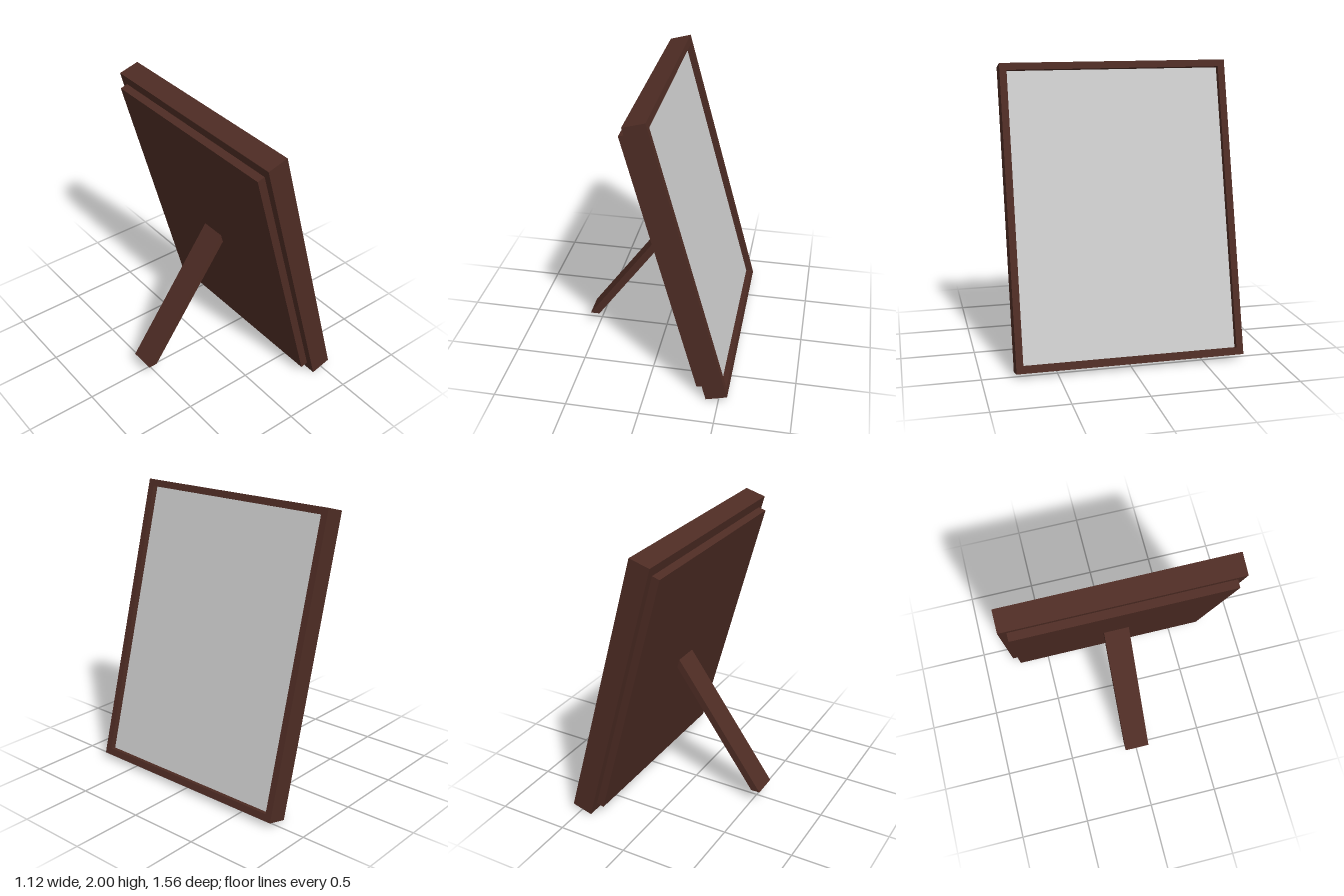
import * as THREE from 'three';

const wood = new THREE.MeshStandardMaterial({ color: 0x4e2c24, flatShading: true });
const grey = new THREE.MeshStandardMaterial({ color: 0xcccccc, flatShading: true });

const TILT = THREE.MathUtils.degToRad(15.3);
const H = 2.032, W = 1.556, T = 0.15; // frame height, width, thickness
const RIM = 0.047, RECESS = 0.04;

// Rectangle outline centred on the origin
function rect(PathType, w, h) {
  const p = new PathType();
  p.moveTo(-w / 2, -h / 2);
  p.lineTo(w / 2, -h / 2);
  p.lineTo(w / 2, h / 2);
  p.lineTo(-w / 2, h / 2);
  p.closePath();
  return p;
}

function add(parent, name, geometry, material) {
  const mesh = new THREE.Mesh(geometry, material);
  mesh.name = name;
  parent.add(mesh);
  return mesh;
}

export function createModel() {
  const model = new THREE.Group();
  model.name = 'standingPictureFrame';

  // Leaning assembly, built facing +z, then turned to face +x and tilted back
  const leaning = new THREE.Group();
  leaning.name = 'leaningFrame';
  leaning.position.set(0.2185, 1.0, 0);
  leaning.rotation.set(0, Math.PI / 2, TILT, 'ZYX');
  model.add(leaning);

  // Rim with a rectangular opening
  const openW = W - 2 * RIM, openH = H - 2 * RIM;
  const outline = rect(THREE.Shape, W, H);
  outline.holes.push(rect(THREE.Path, openW, openH));
  const rim = new THREE.ExtrudeGeometry(outline, { depth: T, bevelEnabled: false });
  rim.translate(0, 0, -T / 2);
  add(leaning, 'frameRim', rim, wood);

  // Recessed picture panel and the board filling the rim behind it
  const panelFront = T / 2 - RECESS;
  const panel = add(leaning, 'picturePanel', new THREE.BoxGeometry(openW, openH, 0.01), grey);
  panel.position.z = panelFront - 0.005;
  const boardDepth = panelFront - 0.01 + T / 2;
  const board = add(leaning, 'innerBoard', new THREE.BoxGeometry(openW, openH, boardDepth), wood);
  board.position.z = -T / 2 + boardDepth / 2;

  // Smaller backing plate standing proud of the rear
  const backing = add(leaning, 'backingPlate', new THREE.BoxGeometry(1.45, 1.89, 0.055), wood);
  backing.position.z = -T / 2 - 0.0275;

  // Rear strut with a level foot, its top end buried in the backing
  const side = new THREE.Shape([
    [-0.562, 0.095], [-0.497, 0.095], [0.14, 0.982], [0.115, 1.035],
  ].map(([x, y]) => new THREE.Vector2(x, y)));
  const strut = new THREE.ExtrudeGeometry(side, { depth: 0.18, bevelEnabled: false });
  strut.translate(0, 0, -0.09);
  add(model, 'rearStrut', strut, wood);

  return model;
}
